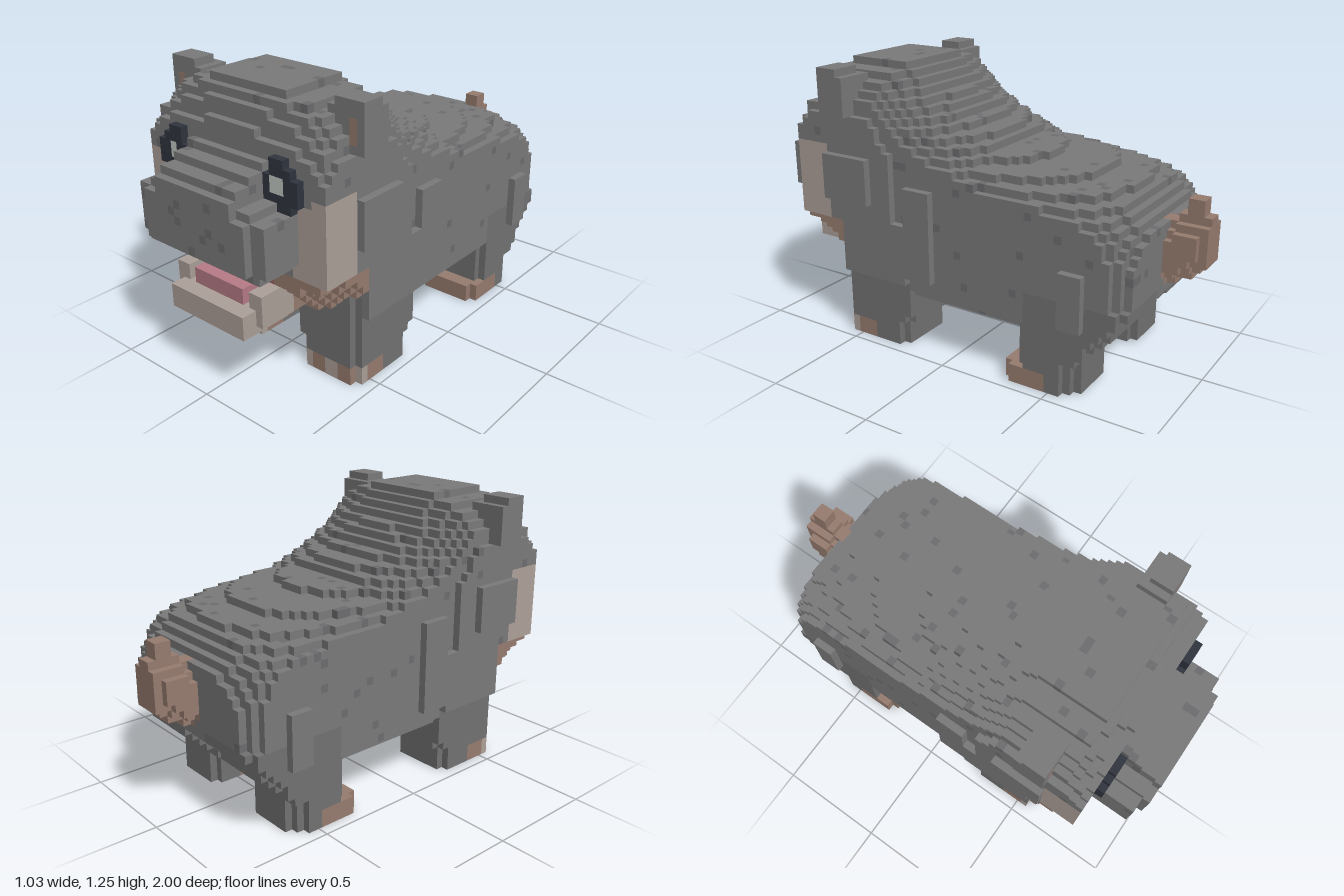
import * as THREE from 'three';

// Voxel size, lift of the grid above the ground, and grid extent
const S = 1 / 29, LIFT = 0.012;
const N = { x: 16, y: 36, z: 29 };

const C = {
  hide: 0x7b7b7c, spot: 0x6e6e70, shade: 0x737374, beige: 0xaea19a, brown: 0x987d70,
  belly: 0x7d6c64, pink: 0xb87c88, mouth: 0x966164, eye: 0x30353f, glint: 0xc4c9c4,
};

const within = (v, lo, hi) => v > lo && v < hi;
const box = (a, y, z, a0, a1, y0, y1, z0, z1) => within(a, a0, a1) && within(y, y0, y1) && within(z, z0, z1);

// Repeatable speckle value in 0..1
function speckle(x, y, z) {
  const s = Math.sin(x * 831.7 + y * 1271.3 + z * 547.9) * 43758.5453;
  return s - Math.floor(s);
}

// Trunk and head sections: z, half width, bottom, wall top, crown, rise of the bottom at the sides
const sections = [
  [-0.83, 0.37, 0.41, 0.48, 0.685, 0.03],
  [-0.77, 0.42, 0.35, 0.57, 0.76, 0.06],
  [-0.70, 0.455, 0.27, 0.63, 0.815, 0.09],
  [-0.60, 0.455, 0.18, 0.69, 0.85, 0.12],
  [-0.45, 0.455, 0.18, 0.73, 0.865, 0.12],
  [-0.28, 0.455, 0.18, 0.75, 0.89, 0.12],
  [-0.08, 0.455, 0.18, 0.76, 0.91, 0.12],
  [-0.03, 0.455, 0.18, 0.77, 0.96, 0.12],
  [0.07, 0.455, 0.18, 0.80, 0.99, 0.12],
  [0.20, 0.455, 0.18, 0.83, 1.08, 0.12],
  [0.32, 0.47, 0.18, 0.86, 1.18, 0.14],
  [0.40, 0.49, 0.20, 0.88, 1.256, 0.18],
  [0.55, 0.49, 0.25, 0.90, 1.256, 0.22],
  [0.68, 0.49, 0.38, 0.90, 1.256, 0.20],
  [0.74, 0.49, 0.45, 0.90, 1.18, 0.13],
  [0.80, 0.485, 0.50, 0.90, 1.05, 0.07],
];

function trunk(a, y, z) {
  const i = sections.findIndex((s, k) => k > 0 && z <= s[0]);
  if (i < 1 || z < sections[0][0]) return false;
  const p = sections[i - 1], q = sections[i], f = (z - p[0]) / (q[0] - p[0]);
  const [, hw, bottom, wall, top, rise] = p.map((v, k) => v + (q[k] - v) * f);
  const t = a / hw;
  if (t >= 1) return false;
  return y > bottom + rise * t ** 3 && y < wall + (top - wall) * (1 - t ** 2.5) ** 0.4;
}

// Leg column with trimmed vertical corners, wider above the foot
function column(a, y, z, z0, z1) {
  const inner = y < 0.14 ? 0.13 : 0.1;
  if (!within(a, inner, 0.455) || !within(z, z0, z1)) return false;
  const da = Math.min(a - inner, 0.455 - a), dz = Math.min(z - z0, z1 - z);
  return da + dz > (y < 0.14 ? 0.065 : 0.045);
}
const frontLeg = (a, y, z) => y < 0.42 && column(a, y, z, 0.25 - Math.max(0, Math.min(y - 0.07, 0.1)) * 0.6, 0.58);
const hindLeg = (a, y, z) => y < 0.42 && column(a, y, z, -0.61 - Math.max(0, y - 0.14) * 0.8, -0.35);

// Snout: broad muzzle below, narrow sloping bridge between the eyes
function snout(a, y, z) {
  if (!within(z, 0.79, 1.01)) return false;
  const tip = z > 0.965;
  if (a > (tip ? 0.28 : 0.345) || y < (tip ? 0.64 : 0.6)) return false;
  if (a > 0.31 && y < 0.635) return false;
  return y < (a < 0.2 ? 1.0 - 0.5 * (z - 0.8) : tip ? 0.835 : 0.865 - 0.2 * Math.max(0, a - 0.24));
}

function jaw(a, y, z) {
  if (!within(z, 0.55, 0.975)) return false;
  if (a > (z > 0.9 ? 0.22 : 0.25)) return false;
  const low = z > 0.7 ? (a > 0.2 ? 0.355 : 0.325) : 0.36;
  return y > low && y < (a > 0.17 && z < 0.9 ? 0.49 : 0.435);
}

const eyeDisc = (a, y, z) => within(z, 0.79, 0.83) &&
  (box(a, y, z, 0.235, 0.35, 0.83, 1.01, 0, 1) || box(a, y, z, 0.2, 0.385, 0.865, 0.98, 0, 1) ||
    box(a, y, z, 0.235, 0.31, 0.99, 1.045, 0, 1));

// Ear slab, thinner along its top edge
const ear = (a, y, z) => box(a, y, z, 0.34, 0.52, 1.03, 1.26, 0.48, 0.625) &&
  !(y > 1.215 && (a < 0.375 || z < 0.51)) && !(a > 0.485 && y < 1.06 && z > 0.59);

// Stubby tail: rounded base, ridge in the middle and an upturned tip
function tail(a, y, z) {
  if (!within(z, -1.01, -0.8)) return false;
  const back = Math.max(0, -0.82 - z);
  const low = 0.4 + back * 0.62 + a * 0.8;
  if (a < 0.05 && within(z, -0.975, -0.89)) return y > low && y < 0.79;
  const hw = z > -0.9 ? 0.12 : z > -0.96 ? 0.09 : 0.06;
  return a < hw && y > low && y < 0.7 + (z < -0.86 ? 0.03 : 0) - a * 0.6;
}

// Both sides of a paired part
const pair = (name, color, test) => [1, -1].map((side) => [
  (side > 0 ? 'left' : 'right') + name, color, (a, y, z, x) => x * side > 0 && test(a, y, z)]);

// Parts in order of priority: name, colour, test at a voxel centre
const parts = [
  ['eyeGlints', C.glint, (a, y, z, x) => box(a, y, z, x > 0 ? 0.24 : 0.275, 0.312, 0.895, 0.97, 0.79, 0.83)],
  ...pair('Eye', C.eye, eyeDisc),
  ...pair('InnerEar', C.brown, (a, y, z) => box(a, y, z, 0.445, 0.485, 1.075, 1.185, 0.585, 0.625)),
  ...pair('Ear', C.hide, ear),
  ['snoutSpots', C.spot, (a, y, z, x) => snout(a, y, z) && speckle(x, y, z) < 0.07],
  ['snout', C.hide, snout],
  ['tongue', C.pink, (a, y, z) => box(a, y, z, -1, 0.14, 0.43, z > 0.84 ? 0.49 : 0.54, 0.6, 0.89)],
  ['mouth', C.mouth, (a, y, z) => box(a, y, z, -1, 0.2, 0.49, 0.65, 0.7, 0.81)],
  ['jaw', C.beige, (a, y, z) => jaw(a, y, z) && z > 0.72],
  ['jawBase', C.brown, jaw],
  ...pair('FrontToes', C.beige, (a, y, z) => y < 0.07 && z > 0.5 && frontLeg(a, y, z) && Math.floor(a / 0.0694) % 2 === 0),
  ...pair('FrontFoot', C.brown, (a, y, z) => y < 0.07 && z > 0.42 && frontLeg(a, y, z)),
  ...pair('FrontLeg', C.shade, frontLeg),
  ...pair('HindFoot', C.brown, (a, y, z) => y < 0.07 && z > -0.48 && column(a, y, z, -0.61, -0.28)),
  ...pair('HindLeg', C.shade, hindLeg),
  ...pair('CheekPad', C.hide, (a, y, z) => box(a, y, z, 0.4, 0.52, 0.68, 0.87, 0.38, 0.62)),
  ...pair('Shoulder', C.hide, (a, y, z) => box(a, y, z, 0.4, 0.485, z < 0.22 ? 0.36 : 0.32, z < 0.22 ? 0.78 : 0.6, 0.07, 0.55)),
  ...pair('Thigh', C.hide, (a, y, z) => box(a, y, z, 0.4, 0.485, 0.32, 0.58, -0.66, -0.56)),
  ['tail', C.brown, tail],
  ['muzzleUnderside', C.brown, (a, y, z) => z > 0.5 && y < 0.56 && trunk(a, y, z)],
  ...pair('Cheek', C.beige, (a, y, z) => z > 0.62 && a > 0.3 && y < 0.9 - Math.max(0, 0.42 - a) * 0.6 && trunk(a, y, z)),
  ['belly', C.belly, (a, y, z) => y < 0.225 && trunk(a, y, z)],
  ['hideSpots', C.spot, (a, y, z, x) => trunk(a, y, z) && speckle(x, y, z) < 0.035],
  ['body', C.hide, trunk],
];

export function createModel() {
  const group = new THREE.Group();

  // Assign each voxel to the first part that claims it
  const cells = new Map();
  const key = (i, j, k) => (i + 50) * 10000 + (j + 2) * 100 + (k + 40);
  for (let i = -N.x; i < N.x; i++) for (let j = 0; j < N.y; j++) for (let k = -N.z; k < N.z; k++) {
    const x = (i + 0.5) * S, y = (j + 0.5) * S + LIFT, z = (k + 0.5) * S;
    const p = parts.findIndex(([, , test]) => test(Math.abs(x), y, z, x));
    if (p >= 0) cells.set(key(i, j, k), { p, at: [i, j, k] });
  }

  // Grid corner to position; the lowest row reaches down to the ground
  const place = ([i, j, k]) => [i * S, j ? j * S + LIFT : 0, k * S];

  // Emit only the faces that look into empty space
  const positions = parts.map(() => []);
  for (const { p, at } of cells.values()) {
    for (let axis = 0; axis < 3; axis++) for (const d of [1, -1]) {
      const next = [...at];
      next[axis] += d;
      if (cells.has(key(...next))) continue;
      const u = (axis + 1) % 3, v = (axis + 2) % 3;
      const corner = (du, dv) => {
        const c = [...at];
        c[axis] += d > 0 ? 1 : 0;
        c[u] += du;
        c[v] += dv;
        return place(c);
      };
      const [a, b, c, e] = [corner(0, 0), corner(1, 0), corner(1, 1), corner(0, 1)];
      const tris = d > 0 ? [a, b, c, a, c, e] : [a, c, b, a, e, c];
      for (const t of tris) positions[p].push(...t);
    }
  }

  parts.forEach(([name, color], p) => {
    if (!positions[p].length) return;
    const geometry = new THREE.BufferGeometry();
    geometry.setAttribute('position', new THREE.Float32BufferAttribute(positions[p], 3));
    geometry.computeVertexNormals();
    const mesh = new THREE.Mesh(geometry, new THREE.MeshStandardMaterial({ color }));
    mesh.name = name;
    group.add(mesh);
  });
  return group;
}
